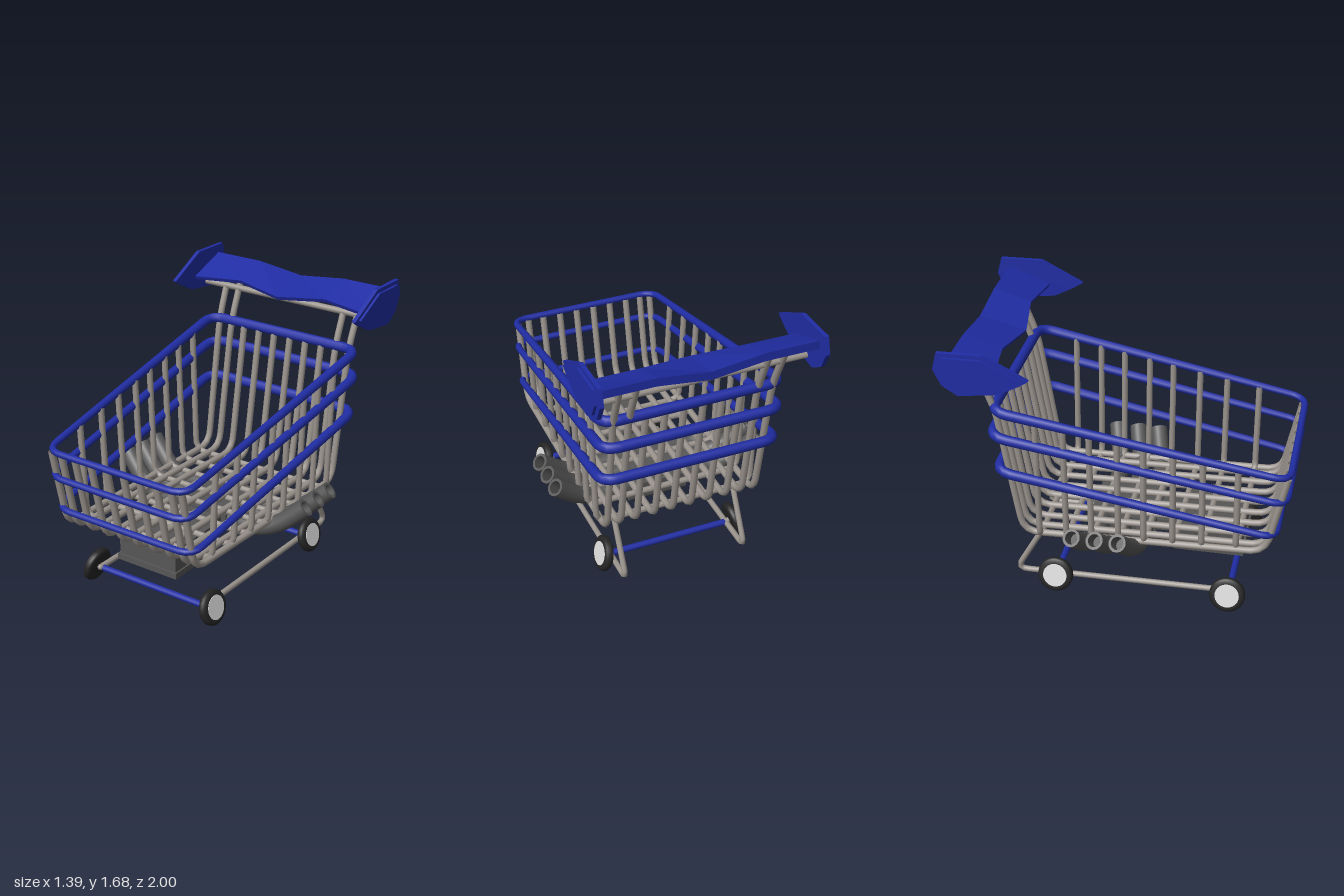
import * as THREE from 'three';

const paint = (name, color, side = THREE.FrontSide) => {
  const m = new THREE.MeshStandardMaterial({ color, side });
  m.name = name;
  return m;
};
const V = (x, y, z) => new THREE.Vector3(x, y, z);
const lerp = THREE.MathUtils.lerp;

// polyline with rounded corners, each corner eased over a distance r
function roundedPath(pts, r, closed = false) {
  const path = new THREE.CurvePath();
  const n = pts.length;
  const toward = (a, b) => a.clone().add(b.clone().sub(a).setLength(Math.min(r, a.distanceTo(b) * 0.48)));
  const first = closed ? toward(pts[0], pts[1]) : pts[0];
  let from = first;
  for (let i = 1; i < (closed ? n + 1 : n - 1); i++) {
    const p = pts[i % n];
    const a = toward(p, pts[i - 1]);
    const b = toward(p, pts[(i + 1) % n]);
    path.add(new THREE.LineCurve3(from, a));
    path.add(new THREE.QuadraticBezierCurve3(a, p, b));
    from = b;
  }
  if (!closed) path.add(new THREE.LineCurve3(from, pts[n - 1]));
  return path;
}

export function createModel() {
  const root = new THREE.Group();
  root.name = 'shoppingCart';
  const steel = paint('steel', 0x9a938d, THREE.DoubleSide);
  const blue = paint('blue', 0x202da4);
  const iron = paint('darkIron', 0x565656, THREE.DoubleSide);
  const rubber = paint('rubber', 0x242424);
  const hubGrey = paint('hubGrey', 0xdcdcdc);

  const add = (name, geo, mat, x = 0, y = 0, z = 0) => {
    const m = new THREE.Mesh(geo, mat);
    m.name = name;
    m.position.set(x, y, z);
    root.add(m);
    return m;
  };
  const wire = (name, pts, r, corner, mat = steel, segs = 64) =>
    add(name, new THREE.TubeGeometry(roundedPath(pts, corner), segs, r, 8), mat);
  const rod = (name, len, r, mat, y, z) => {
    add(name, new THREE.CylinderGeometry(r, r, len, 10), mat, 0, y, z).rotation.z = Math.PI / 2;
  };
  // side outline of (z, y) points, extruded from xMax towards -x
  const sidePlate = (name, outline, xMax, depth, mat) => {
    const shape = new THREE.Shape(outline.map(([z, y]) => new THREE.Vector2(z, y)));
    const geo = new THREE.ExtrudeGeometry(shape, { depth, bevelEnabled: false });
    add(name, geo, mat, xMax).rotation.y = -Math.PI / 2;
  };

  // basket hoops: tilted rounded loops, thicker towards the back
  const halfWidth = z => lerp(0.482, 0.54, (0.98 - z) / 1.7);
  const hoops = [
    ['topHoop', 0.98, 0.99, -0.713, 1.28],
    ['middleHoop', 0.97, 0.825, -0.73, 1.115],
    ['lowerHoop', 0.92, 0.597, -0.703, 0.885],
  ];
  for (const [name, zf, yf, zb, yb] of hoops) {
    const wf = halfWidth(zf), wb = halfWidth(zb);
    const path = roundedPath([V(0, yf, zf), V(wf, yf, zf), V(wb, yb, zb), V(-wb, yb, zb), V(-wf, yf, zf)], 0.1, true);
    const geo = new THREE.TubeGeometry(path, 140, 0.02, 10, true);
    const p = geo.attributes.position, nrm = geo.attributes.normal;
    for (let i = 0; i < p.count; i++) {
      const grow = 0.011 * THREE.MathUtils.clamp((zf - p.getZ(i)) / (zf - zb), 0, 1);
      p.setXYZ(i, p.getX(i) + nrm.getX(i) * grow, p.getY(i) + nrm.getY(i) * grow, p.getZ(i) + nrm.getZ(i) * grow);
    }
    add(name, geo, blue);
  }

  // lengthwise wires; the outer two on each side run on up to the handle
  for (const s of [-1, 1]) {
    for (const x of [0.058, 0.172, 0.286, 0.386, 0.47]) {
      const handle = x > 0.3;
      const outer = x > 0.4;
      const pts = [
        V(s * (outer ? 0.455 : x), 0.985, 0.968), V(s * (outer ? 0.455 : x), 0.475, 0.86),
        V(s * x, 0.438, -0.575), V(s * (outer ? 0.478 : x), 1.27, -0.71),
      ];
      if (handle) pts.push(V(s * (outer ? 0.485 : x), 1.56, -0.83));
      wire('lengthwiseWire', pts, 0.021, 0.1);
    }
  }

  // crosswise wires: up one side, across the floor, up the other
  for (const z of [0.69, 0.49, 0.32, 0.15, 0, -0.16, -0.31, -0.47]) {
    const w = halfWidth(z) - 0.012;
    const top = lerp(0.99, 1.28, (0.98 - z) / 1.693);
    const floor = lerp(0.47, 0.437, (0.8 - z) / 1.3) - 0.01;
    wire('crosswiseWire', [V(-w, top, z), V(-w + 0.025, floor, z), V(w - 0.025, floor, z), V(w, top, z)], 0.019, 0.07);
  }

  // handle bar
  rod('handleBar', 1.28, 0.02, steel, 1.476, -0.79);

  // wing: stations across x, each a four-point section, [x, back y, front z, front y]
  const stations = [
    [-0.64, 1.635, -0.66, 1.54], [-0.31, 1.635, -0.695, 1.565], [0, 1.597, -0.64, 1.535],
    [0.31, 1.635, -0.695, 1.565], [0.64, 1.635, -0.66, 1.54],
  ];
  const verts = [], faces = [];
  stations.forEach(([x, yb, zf, yf], i) => {
    verts.push(x, yb, -0.92, x, yf, zf, x, yf - 0.022, zf - 0.01, x, yb - 0.05, -0.92);
    if (i === 0) return;
    for (let k = 0; k < 4; k++) {
      const a = (i - 1) * 4 + k, b = (i - 1) * 4 + (k + 1) % 4;
      faces.push(a, b, b + 4, a, b + 4, a + 4);
    }
  });
  let wing = new THREE.BufferGeometry();
  wing.setAttribute('position', new THREE.Float32BufferAttribute(verts, 3));
  wing.setIndex(faces);
  wing = wing.toNonIndexed();
  wing.computeVertexNormals();
  add('wing', wing, blue);

  // wing end plates: a large inner slab and a smaller outer one
  const plate = [[-0.455, 1.56], [-0.51, 1.524], [-0.63, 1.46], [-0.86, 1.43],
    [-0.95, 1.487], [-0.995, 1.583], [-0.968, 1.685], [-0.71, 1.69]];
  const inset = plate.map(([z, y]) => [-0.735 + (z + 0.735) * 0.85, 1.56 + (y - 1.56) * 0.82]);
  sidePlate('wingEndPlate', plate, 0.66, 0.025, blue);
  sidePlate('wingEndPlate', plate, -0.635, 0.025, blue);
  sidePlate('wingEndCover', inset, 0.675, 0.02, blue);
  sidePlate('wingEndCover', inset, -0.655, 0.02, blue);

  // lower frame rails and crossbars
  for (const s of [-1, 1]) {
    const x = s * 0.385;
    wire('lowerRail', [V(x, 0.115, 0.67), V(x, 0.095, -0.655), V(x, 0.435, -0.465)], 0.018, 0.07);
    add('railEnd', new THREE.SphereGeometry(0.018, 10, 8), steel, x, 0.115, 0.67);
  }
  rod('frontCrossbar', 0.76, 0.02, blue, 0.107, 0.655);
  rod('rearCrossbar', 0.76, 0.02, blue, 0.1, -0.4);

  // cambered wheels with a pale hub on the outside
  const tyre = new THREE.LatheGeometry(
    [[0, -0.025], [0.085, -0.027], [0.1, -0.02], [0.107, -0.01], [0.107, 0.01], [0.1, 0.02], [0.085, 0.027], [0.07, 0.025], [0, 0.022]]
      .map(([r, y]) => new THREE.Vector2(r, y)), 28);
  for (const s of [-1, 1]) {
    for (const z of [0.65, -0.4]) {
      const wheel = new THREE.Group();
      wheel.name = 'wheel';
      const parts = [
        ['tyre', tyre, rubber, 0],
        ['hub', new THREE.CylinderGeometry(0.073, 0.073, 0.008, 28), hubGrey, 0.024],
        ['axle', new THREE.CylinderGeometry(0.018, 0.018, 0.05, 10), steel, -0.035],
      ];
      for (const [name, geo, mat, y] of parts) {
        const m = new THREE.Mesh(geo, mat);
        m.name = name;
        m.position.y = y;
        wheel.add(m);
      }
      wheel.position.set(s * 0.428, 0.115, z);
      wheel.rotation.z = s * (-Math.PI / 2 + 0.25);
      root.add(wheel);
    }
  }

  // engine under the floor
  add('engineBody', new THREE.BoxGeometry(0.405, 0.145, 0.4), iron, 0, 0.357, 0.497);
  add('enginePan', new THREE.BoxGeometry(0.425, 0.037, 0.425), iron, 0, 0.269, 0.497);
  add('engineNeck', new THREE.BoxGeometry(0.3, 0.075, 0.16), iron, 0, 0.368, 0.23);
  sidePlate('exhaustBox', [[0.17, 0.425], [0.17, 0.325], [0.145, 0.302], [-0.215, 0.302], [-0.235, 0.325], [-0.235, 0.425]],
    0.185, 0.37, iron);

  // three upswept exhaust pipes on each side, hollow at the tip
  for (const s of [-1, 1]) {
    for (const z of [0.11, -0.025, -0.16]) {
      const path = new THREE.CatmullRomCurve3([
        V(s * 0.16, 0.39, z), V(s * 0.28, 0.383, z), V(s * 0.385, 0.385, z - 0.005),
        V(s * 0.5, 0.43, z - 0.03), V(s * 0.585, 0.495, z - 0.055), V(s * 0.66, 0.562, z - 0.078),
      ]);
      add('exhaustPipe', new THREE.TubeGeometry(path, 24, 0.054, 14), iron);
      const tip = path.getPoint(1), dir = path.getTangent(1);
      const rim = add('exhaustRim', new THREE.RingGeometry(0.038, 0.054, 14), iron, tip.x, tip.y, tip.z);
      rim.quaternion.setFromUnitVectors(V(0, 0, 1), dir);
      const back = tip.clone().addScaledVector(dir, -0.08);
      add('exhaustBore', new THREE.TubeGeometry(new THREE.LineCurve3(back, tip), 1, 0.038, 14), iron);
      const end = add('exhaustBoreEnd', new THREE.CircleGeometry(0.038, 14), rubber, back.x, back.y, back.z);
      end.quaternion.copy(rim.quaternion);
    }
  }
  return root;
}
